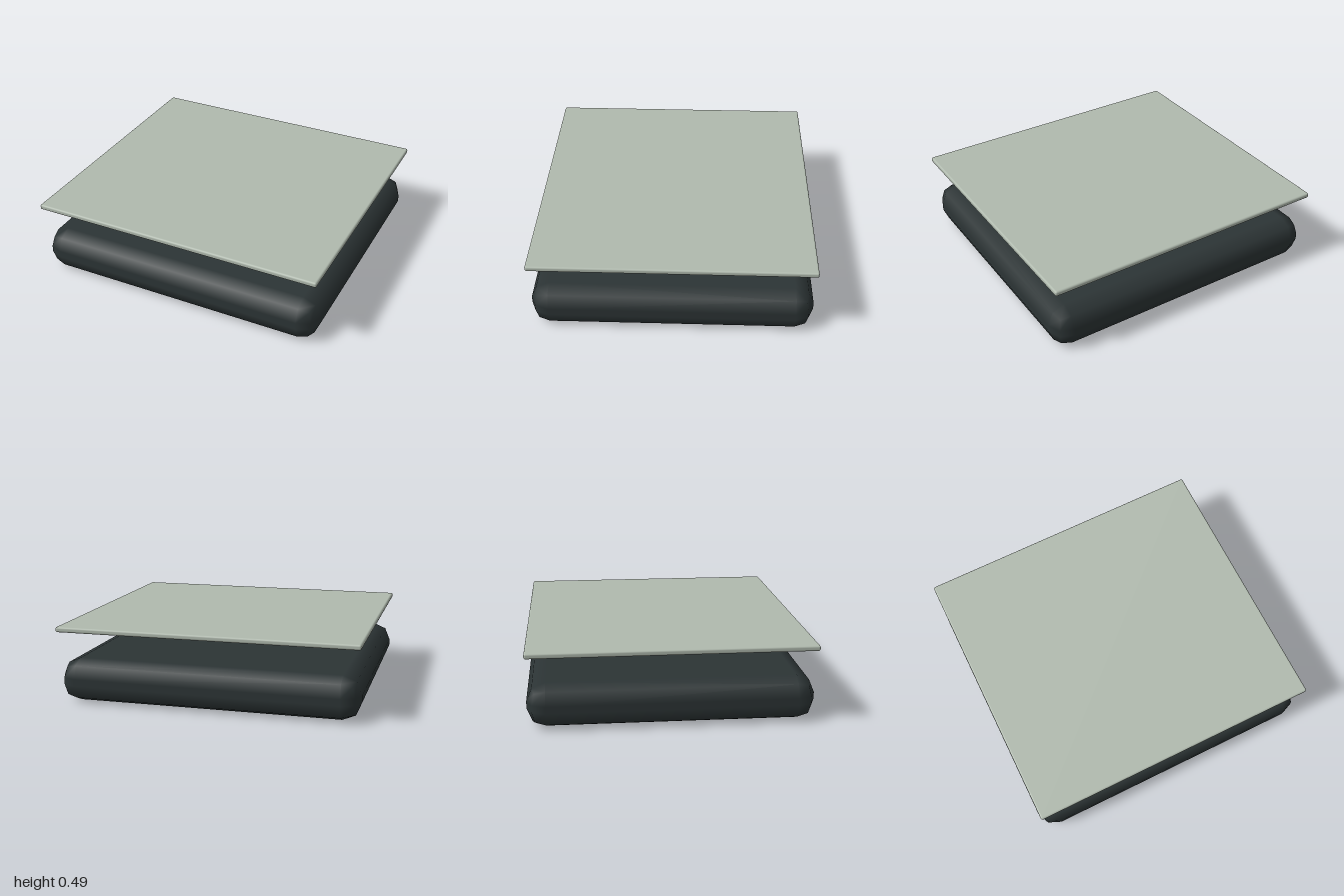
import * as THREE from 'three';
import { RoundedBoxGeometry } from 'three/addons/geometries/RoundedBoxGeometry.js';

const WIDTH = 1.912, DEPTH = 1.762, TURN = 0.047;

function material(name, color) {
  const m = new THREE.MeshStandardMaterial({ color });
  m.name = name;
  return m;
}

// Rounded slab standing on the given height
function slab(name, height, bottom, segments, radius, mat) {
  const mesh = new THREE.Mesh(new RoundedBoxGeometry(WIDTH, height, DEPTH, segments, radius), mat);
  mesh.name = name;
  mesh.position.y = bottom + height / 2;
  return mesh;
}

export function createModel() {
  const model = new THREE.Group();
  model.name = 'paddedBaseWithPanel';

  // Thick cushion-like base, and a thin panel floating above it
  model.add(
    slab('base', 0.276, 0, 1, 0.116, material('charcoal', 0x2c3435)),
    slab('topPanel', 0.034, 0.458, 2, 0.012, material('paleSage', 0xb0baae))
  );

  // Both parts are turned slightly about the vertical axis
  for (const part of model.children) part.rotation.y = TURN;
  return model;
}
